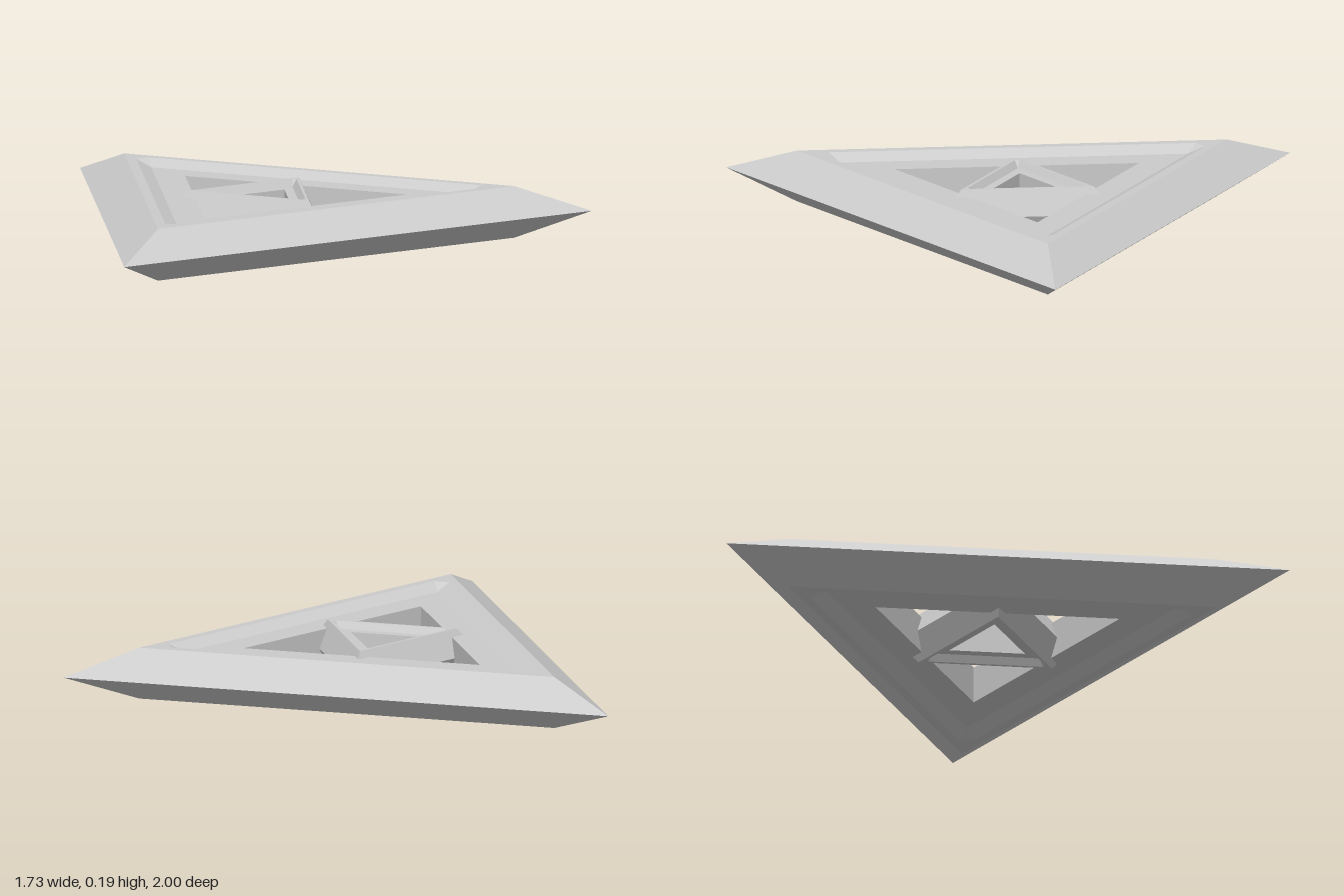
import * as THREE from 'three';

const HEIGHT = 0.185;
const STEP = 0.025;

// Closed cross-section of the frame: [distance of side from centre, height, corner cut-off distance]
const upper = [
  [0.44, HEIGHT, 0.88],
  [0.406, HEIGHT, 0.766],
  [0.356, HEIGHT - STEP, 0.712],
  [0.25, HEIGHT - STEP, 0.5],
];
const lower = upper.map(([r, y, c]) => [r, HEIGHT - y, c]).reverse();
const profile = [[0.5773, HEIGHT / 2, 1.1546], ...upper, ...lower];

// Triangle with optionally blunted corners, always six points
function ring([r, y, cut]) {
  const points = [];
  const w = (2 * r - cut) / Math.sqrt(3);
  for (let k = 0; k < 3; k++) {
    const a = (k * Math.PI * 2) / 3;
    for (const s of [-w, w]) {
      points.push(new THREE.Vector3(
        cut * Math.cos(a) - s * Math.sin(a), y, cut * Math.sin(a) + s * Math.cos(a)));
    }
  }
  return points;
}

// Joins the rings into a closed triangular frame
function frameGeometry() {
  const rings = profile.map(ring);
  const pos = [];
  const tri = new THREE.Triangle();
  const face = (a, b, c) => {
    tri.set(a, b, c);
    if (tri.getArea() > 1e-7) for (const p of [a, b, c]) pos.push(p.x, p.y, p.z);
  };
  rings.forEach((A, i) => {
    const B = rings[(i + 1) % rings.length];
    for (let j = 0; j < 6; j++) {
      const n = (j + 1) % 6;
      face(A[j], B[j], A[n]);
      face(A[n], B[j], B[n]);
    }
  });
  const g = new THREE.BufferGeometry();
  g.setAttribute('position', new THREE.Float32BufferAttribute(pos, 3));
  g.computeVertexNormals();
  return g;
}

export function createModel() {
  const group = new THREE.Group();
  const material = new THREE.MeshStandardMaterial({ color: 0xcccccc, flatShading: true });
  const geometry = frameGeometry();

  // Large frame pointing to +x
  const outer = new THREE.Mesh(geometry, material);
  outer.name = 'outerFrame';
  outer.position.x = -0.289;

  // Small frame of the same height, turned round and set in the opening
  const inner = new THREE.Mesh(geometry, material);
  inner.name = 'innerFrame';
  inner.position.x = -0.289;
  inner.rotation.y = Math.PI;
  inner.scale.set(0.31, 1, 0.31);

  group.add(outer, inner);
  return group;
}
